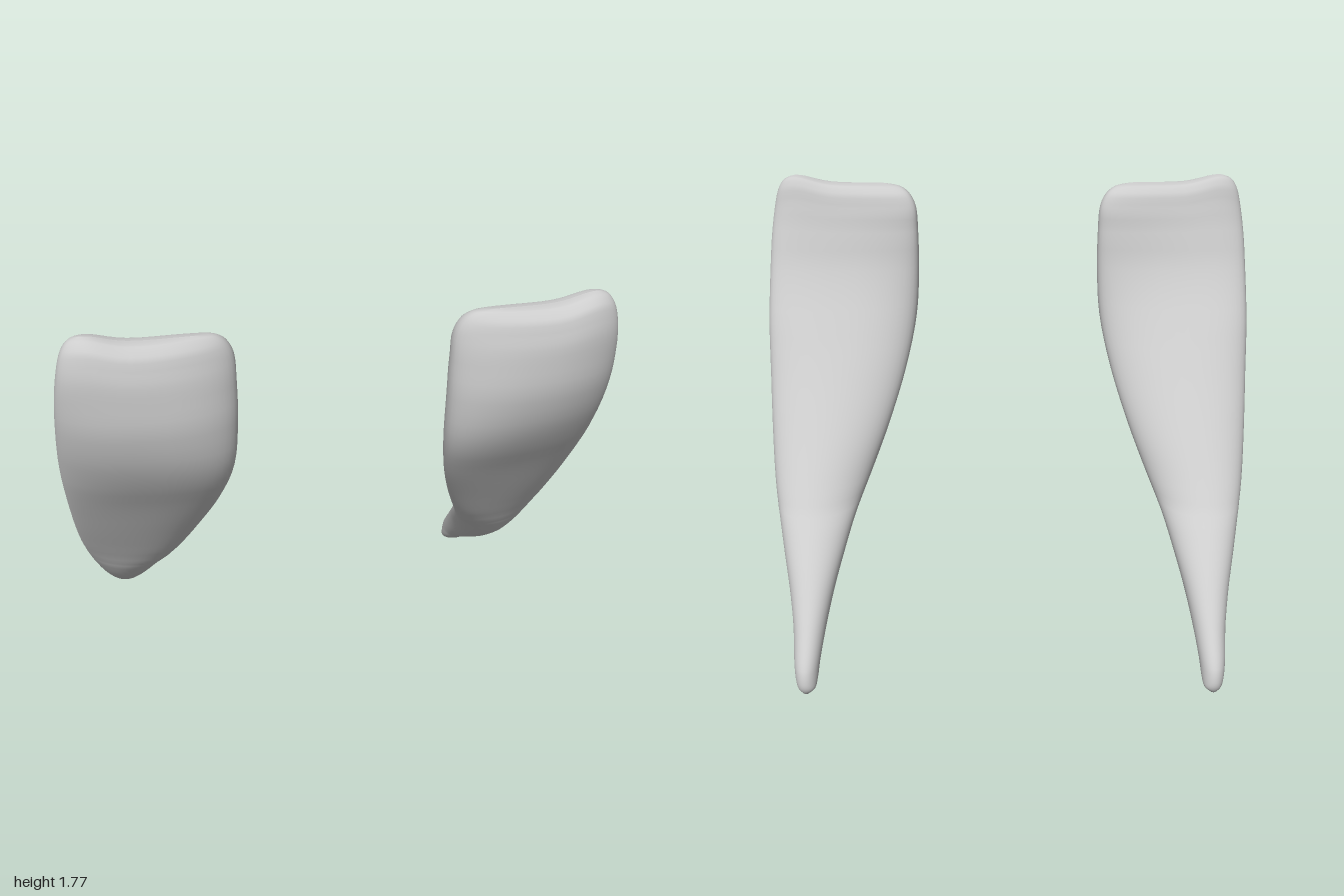
import * as THREE from 'three';

// Horizontal sections from tip to top: y, inner x, outer x, front z, back z, sideways tilt
const SECTIONS = [
  [0.0, 0.775, 0.8, -0.575, -0.6, 0],
  [0.02, 0.752, 0.818, -0.55, -0.612, 0],
  [0.05, 0.744, 0.829, -0.5, -0.615, 0],
  [0.1, 0.738, 0.837, -0.435, -0.6, 0],
  [0.2, 0.72, 0.85, -0.29, -0.518, 0],
  [0.3, 0.696, 0.874, -0.15, -0.428, 0],
  [0.4, 0.665, 0.902, -0.03, -0.335, 0.05],
  [0.5, 0.63, 0.928, 0.06, -0.235, 0.15],
  [0.56, 0.603, 0.942, 0.107, -0.17, 0.25],
  [0.65, 0.562, 0.958, 0.17, -0.1, 0.3],
  [0.8, 0.5, 0.975, 0.27, 0.01, 0.3],
  [1.0, 0.432, 0.99, 0.405, 0.15, 0.35],
  [1.2, 0.388, 1.0, 0.535, 0.275, 0.35],
  [1.4, 0.376, 0.996, 0.605, 0.385, 0.15],
  [1.55, 0.376, 0.985, 0.615, 0.43, -0.05],
  [1.65, 0.382, 0.968, 0.607, 0.445, -0.2],
  [1.7, 0.405, 0.952, 0.595, 0.457, -0.2],
  [1.728, 0.44, 0.93, 0.57, 0.48, -0.15],
  [1.738, 0.49, 0.9, 0.55, 0.505, 0],
  [1.741, 0.52, 0.88, 0.528, 0.528, 0],
];
const ROWS = 76, SIDES = 48;

const signedPow = (v, p) => Math.sign(v) * Math.pow(Math.abs(v), p);
const { smoothstep, lerp, mapLinear } = THREE.MathUtils;

// Curved blade lofted through the sections; side is +1 (left) or -1 (right)
function bladeGeometry(side) {
  const outline = new THREE.CatmullRomCurve3(SECTIONS.map(s => new THREE.Vector3(s[0], s[1], s[2])));
  const depth = new THREE.CatmullRomCurve3(SECTIONS.map(s => new THREE.Vector3(s[3], s[4], s[5])));
  const pos = [], index = [];
  const tri = (a, b, c) => (side > 0 ? index.push(a, b, c) : index.push(a, c, b));

  for (let j = 0; j <= ROWS; j++) {
    const { x: y, y: inner, z: outer } = outline.getPoint(j / ROWS);
    const { x: front, y: back, z: tilt } = depth.getPoint(j / ROWS);
    // Edges sit forward of the middle low down and curl back towards the top
    const bow = 0.2 * smoothstep(y, 0.35, 0.7) - 0.5 * smoothstep(y, 0.95, 1.5);
    const power = lerp(1, 0.82, smoothstep(y, 0.7, 1.5));
    const rim = smoothstep(y, 1.45, 1.74);
    const ring = [];
    for (let i = 0; i < SIDES; i++) {
      const a = (i / SIDES) * Math.PI * 2;
      const u = signedPow(Math.cos(a), power);
      ring.push([u, signedPow(Math.sin(a), power) - tilt * u + bow * u * u]);
    }
    // Fit the tilted, bowed section between its front and back limits
    const lo = Math.min(...ring.map(p => p[1])), hi = Math.max(...ring.map(p => p[1]));
    for (const [u, v] of ring) {
      const x = (inner + outer) / 2 + u * (outer - inner) / 2;
      const bump = 0.034 * Math.exp(-Math.pow((x - 0.88) / 0.1, 2)) * rim;
      pos.push(side * x, y + bump, mapLinear(v, lo, hi, back, front));
    }
  }
  for (let j = 0; j < ROWS; j++) {
    for (let i = 0; i < SIDES; i++) {
      const a = j * SIDES + i, b = j * SIDES + (i + 1) % SIDES;
      tri(a, a + SIDES, b);
      tri(b, a + SIDES, b + SIDES);
    }
  }
  // Close the tip; the top rim pinches shut by itself
  const tip = pos.length / 3;
  pos.push(side * 0.788, 0, -0.588);
  for (let i = 0; i < SIDES; i++) tri(tip, i, (i + 1) % SIDES);

  const geometry = new THREE.BufferGeometry();
  geometry.setAttribute('position', new THREE.Float32BufferAttribute(pos, 3));
  geometry.setIndex(index);
  geometry.computeVertexNormals();
  return geometry;
}

export function createModel() {
  const model = new THREE.Group();
  model.name = 'bladePair';
  const grey = new THREE.MeshStandardMaterial({ color: 0xcccccc });
  grey.name = 'light grey';
  for (const [name, side] of [['leftBlade', 1], ['rightBlade', -1]]) {
    const blade = new THREE.Mesh(bladeGeometry(side), grey);
    blade.name = name;
    model.add(blade);
  }
  return model;
}
